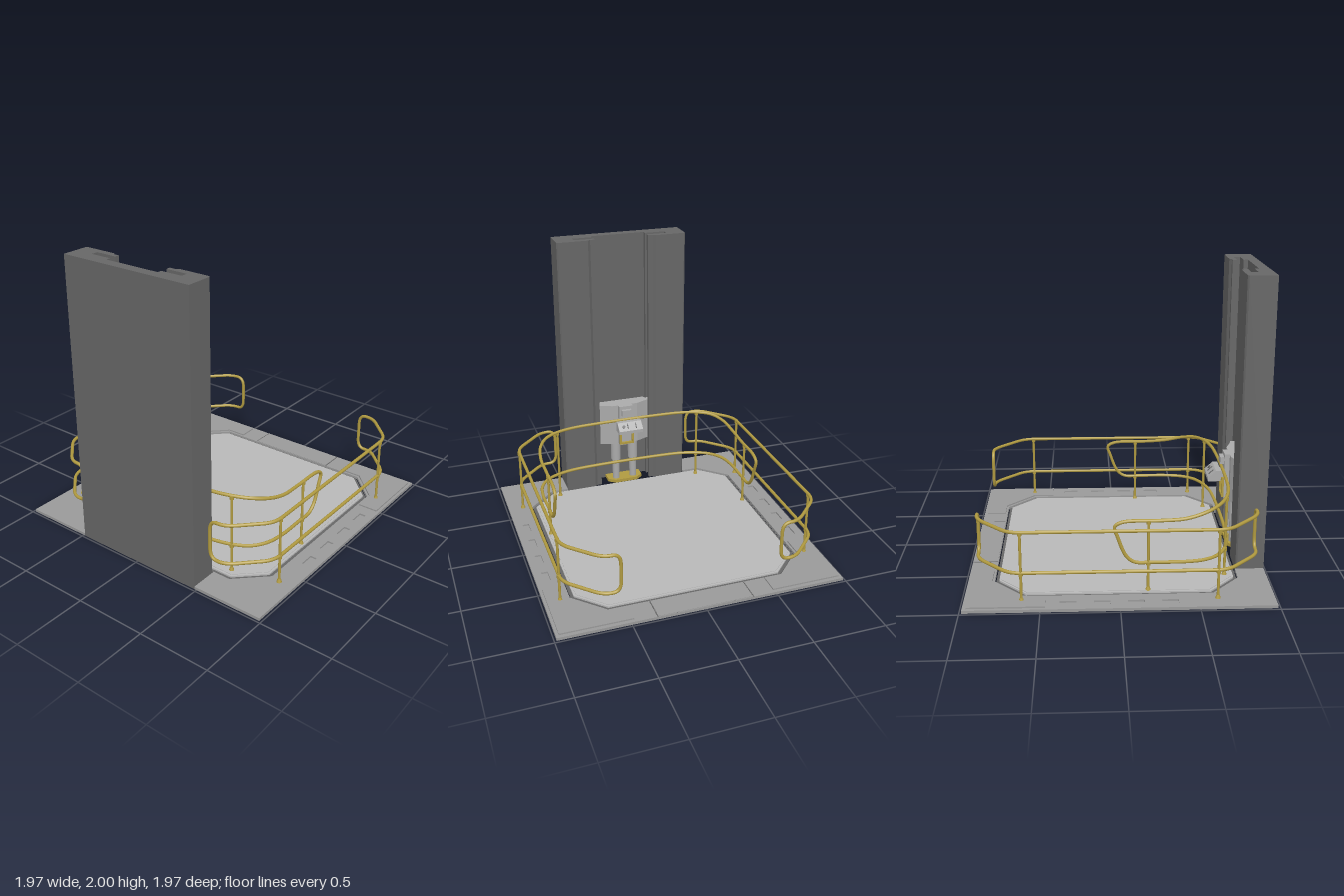
import * as THREE from 'three';

const mat = (color) => new THREE.MeshStandardMaterial({ color });
const deckMat = mat(0xb8b8b8), frameMat = mat(0x999999), darkMat = mat(0x666666);
const yellowMat = mat(0xb09a40), greyMat = mat(0xaaaaaa);

function add(parent, name, geometry, material, x = 0, y = 0, z = 0) {
  const mesh = new THREE.Mesh(geometry, material);
  mesh.name = name;
  mesh.position.set(x, y, z);
  parent.add(mesh);
  return mesh;
}

const toShape = (pts) => new THREE.Shape(pts.map(([x, z]) => new THREE.Vector2(x, z)));

// Upright prism from a plan outline of [x, z] points
function slab(pts, y0, y1, holes = []) {
  const shape = toShape(pts);
  shape.holes.push(...holes.map(toShape));
  return new THREE.ExtrudeGeometry(shape, { depth: y1 - y0, bevelEnabled: false })
    .rotateX(Math.PI / 2).translate(0, y1, 0);
}

const rect = (x0, z0, x1, z1) => [[x0, z0], [x1, z0], [x1, z1], [x0, z1]];

// Mirror a half outline (x > 0, running from front to back) across x = 0
const mirrored = (half) => [...half, ...half.slice().reverse().map(([x, z]) => [-x, z])];

// Chamfered square opening, shrunk by d on every side
const octagon = (d) => mirrored([
  [0.61 - d * 0.4, 0.79 - d], [0.81 - d, 0.6 - d * 0.4],
  [0.81 - d, -0.61 + d * 0.4], [0.61 - d * 0.4, -0.81 + d],
]);

// Closed path of straight runs with rounded corners
function roundedLoop(points, radius) {
  const path = new THREE.CurvePath();
  const n = points.length;
  const corners = points.map((p, i) => {
    const toward = (q) => p.clone().lerp(q, Math.min(radius / p.distanceTo(q), 0.48));
    return { a: toward(points[(i + n - 1) % n]), p, b: toward(points[(i + 1) % n]) };
  });
  corners.forEach((c, i) => {
    path.add(new THREE.QuadraticBezierCurve3(c.a, c.p, c.b));
    path.add(new THREE.LineCurve3(c.b, corners[(i + 1) % n].a));
  });
  return path;
}

// Railing post with a flared foot and a collar at each rail
function post(parent, x, z, top) {
  const g = new THREE.Group();
  g.name = 'railPost';
  g.position.set(x, 0, z);
  add(g, 'postTube', new THREE.CylinderGeometry(0.009, 0.009, top - 0.02, 10), yellowMat, 0, (top + 0.02) / 2, 0);
  add(g, 'postFoot', new THREE.CylinderGeometry(0.01, 0.018, 0.025, 10), yellowMat, 0, 0.032, 0);
  for (const y of [0.215, top]) {
    add(g, 'railCollar', new THREE.CylinderGeometry(0.014, 0.014, 0.024, 10), yellowMat, 0, y - 0.008, 0);
  }
  parent.add(g);
}

function buildBase(root) {
  const base = new THREE.Group();
  base.name = 'base';
  root.add(base);

  // Floor frame, notched at the front for the column
  const outline = mirrored([
    [0.485, 0.79], [0.485, 0.985], [0.985, 0.985], [0.985, -0.985],
  ].reverse());
  const inner = octagon(0);
  const ring = [...outline.slice(0, 4), ...inner.slice(0, 4), ...inner.slice(4), ...outline.slice(4)];
  const pockets = [];
  for (const s of [-1, 1]) {
    for (let i = 0; i < 4; i++) {
      const z = -0.38 + i * 0.215;
      pockets.push(rect(s * 0.885, z, s * 0.93, z + 0.105));
    }
  }
  add(base, 'frameUnderside', slab(ring, 0, 0.008), frameMat);
  add(base, 'frameTop', slab(ring, 0.008, 0.02, pockets), frameMat);

  // Raised corner plates at the back
  for (const s of [-1, 1]) {
    const plate = [[0.48, -0.96], [0.965, -0.96], [0.965, -0.47], [0.825, -0.47],
      [0.825, -0.62], [0.62, -0.825], [0.48, -0.825]].map(([x, z]) => [s * x, z]);
    add(base, 'cornerPlate', slab(plate, 0.02, 0.03), frameMat);
    add(base, 'rampSeam', new THREE.BoxGeometry(0.006, 0.004, 0.17), darkMat, s * 0.33, 0.02, -0.9);
    const hinge = add(base, 'rampMark', new THREE.BoxGeometry(0.005, 0.003, 0.09), darkMat, s * 0.215, 0.02, -0.94);
    hinge.rotation.y = s * 0.4;
  }
  add(base, 'entryRamp', slab(rect(-0.325, -0.98, 0.325, -0.815), 0.02, 0.023), frameMat);

  // Lift platform on a wider flange, with a border line
  add(base, 'platformFlange', slab(octagon(0.008), 0.001, 0.009), darkMat);
  add(base, 'platform', slab(octagon(0.028), 0.009, 0.02), deckMat);
  add(base, 'platformInset', slab(octagon(0.043), 0.02, 0.023), deckMat);
}

function buildRails(root) {
  const rails = new THREE.Group();
  rails.name = 'railings';
  root.add(rails);

  // Outer side railings, each one closed loop wrapped round the corners
  for (const s of [-1, 1]) {
    const plan = [[0.545, 0.9], [0.66, 0.9], [0.877, 0.68], [0.877, -0.69], [0.66, -0.91], [0.545, -0.91]];
    const at = (y) => plan.map(([x, z]) => new THREE.Vector3(s * x, y, z));
    const loop = roundedLoop([...at(0.49), ...at(0.215).reverse()], 0.075);
    add(rails, 'outerRailing', new THREE.TubeGeometry(loop, 320, 0.0115, 8, true), yellowMat);
    for (const z of [0.62, -0.62]) post(rails, s * 0.877, z, 0.49);
    post(rails, s * 0.755, 0.185, 0.5);
    post(rails, s * 0.565, 0.705, 0.57);
  }

  // Inner railing that rises towards the column
  const half = [
    [0.25, 0.575, 0.748], [0.45, 0.575, 0.732], [0.58, 0.573, 0.695], [0.67, 0.565, 0.64],
    [0.73, 0.543, 0.55], [0.755, 0.513, 0.42], [0.755, 0.502, 0.25], [0.755, 0.495, 0.02],
    [0.755, 0.465, -0.03], [0.755, 0.39, -0.01], [0.755, 0.26, 0.045], [0.755, 0.218, 0.1],
    [0.755, 0.215, 0.22], [0.755, 0.215, 0.42], [0.73, 0.215, 0.55], [0.67, 0.215, 0.64],
    [0.58, 0.215, 0.695], [0.45, 0.215, 0.732], [0.25, 0.215, 0.748],
  ].map((p) => new THREE.Vector3(...p));
  const other = half.map((p) => new THREE.Vector3(-p.x, p.y, p.z)).reverse();
  const curve = new THREE.CatmullRomCurve3([...half, ...other], true);
  add(rails, 'innerRailing', new THREE.TubeGeometry(curve, 360, 0.0115, 8, true), yellowMat);
}

function buildColumn(root) {
  // Channel column with a T-shaped guide slot
  const profile = mirrored([
    [0.2, 0.915], [0.2, 0.885], [0.35, 0.885], [0.35, 0.84], [0.2, 0.84], [0.2, 0.81],
    [0.235, 0.81], [0.255, 0.795], [0.475, 0.795], [0.485, 0.805], [0.485, 0.985],
  ]);
  add(root, 'column', slab(profile, 0, 2), darkMat);
}

function buildCarriage(root) {
  const car = new THREE.Group();
  car.name = 'carriage';
  root.add(car);

  // Tapered slider riding in the guide slot
  const slider = mirrored([[0.1, 0.8], [0.185, 0.835], [0.235, 0.848], [0.235, 0.88], [0.19, 0.882], [0.18, 0.905]]);
  add(car, 'slider', slab(slider, 0.35, 0.68), greyMat);
  add(car, 'sliderSpine', new THREE.BoxGeometry(0.11, 0.33, 0.05), greyMat, 0, 0.515, 0.79);
  add(car, 'spineCap', new THREE.BoxGeometry(0.075, 0.05, 0.05), greyMat, 0, 0.63, 0.762);

  // Support cylinders on a yellow foot plate
  add(car, 'footPlate', slab(mirrored([[0.09, 0.79], [0.14, 0.83], [0.14, 0.912]]), 0.005, 0.03), yellowMat);
  for (const s of [-1, 1]) {
    add(car, 'supportRod', new THREE.CylinderGeometry(0.028, 0.028, 0.34, 16), greyMat, s * 0.07, 0.2, 0.84);
    add(car, 'supportSleeve', new THREE.CylinderGeometry(0.038, 0.038, 0.16, 16), greyMat, s * 0.07, 0.28, 0.84);
    add(car, 'railBracket', new THREE.BoxGeometry(0.016, 0.14, 0.016), yellowMat, s * 0.05, 0.44, 0.757);
  }
  add(car, 'railBracketBar', new THREE.BoxGeometry(0.116, 0.016, 0.016), yellowMat, 0, 0.37, 0.757);

  // Sloping control console on an arm
  add(car, 'consoleArm', new THREE.BoxGeometry(0.07, 0.05, 0.09), greyMat, 0, 0.53, 0.74);
  const side = toShape([[0.645, 0.5], [0.735, 0.5], [0.735, 0.575], [0.7, 0.575], [0.645, 0.525]]);
  const wedge = new THREE.ExtrudeGeometry(side, { depth: 0.19, bevelEnabled: false })
    .rotateY(-Math.PI / 2).translate(0.09, 0, 0);
  add(car, 'console', wedge, greyMat);
  const panel = new THREE.Group();
  panel.name = 'consoleControls';
  panel.position.set(0, 0.551, 0.673);
  panel.rotation.x = -Math.atan2(0.05, 0.055);
  car.add(panel);
  for (const x of [-0.05, 0.015]) add(panel, 'switch', new THREE.BoxGeometry(0.008, 0.008, 0.045), darkMat, x);
  add(panel, 'button', new THREE.CylinderGeometry(0.012, 0.012, 0.01, 12), darkMat, 0.048);
}

export function createModel() {
  const root = new THREE.Group();
  root.name = 'platformLift';
  buildBase(root);
  buildRails(root);
  buildColumn(root);
  buildCarriage(root);
  return root;
}
